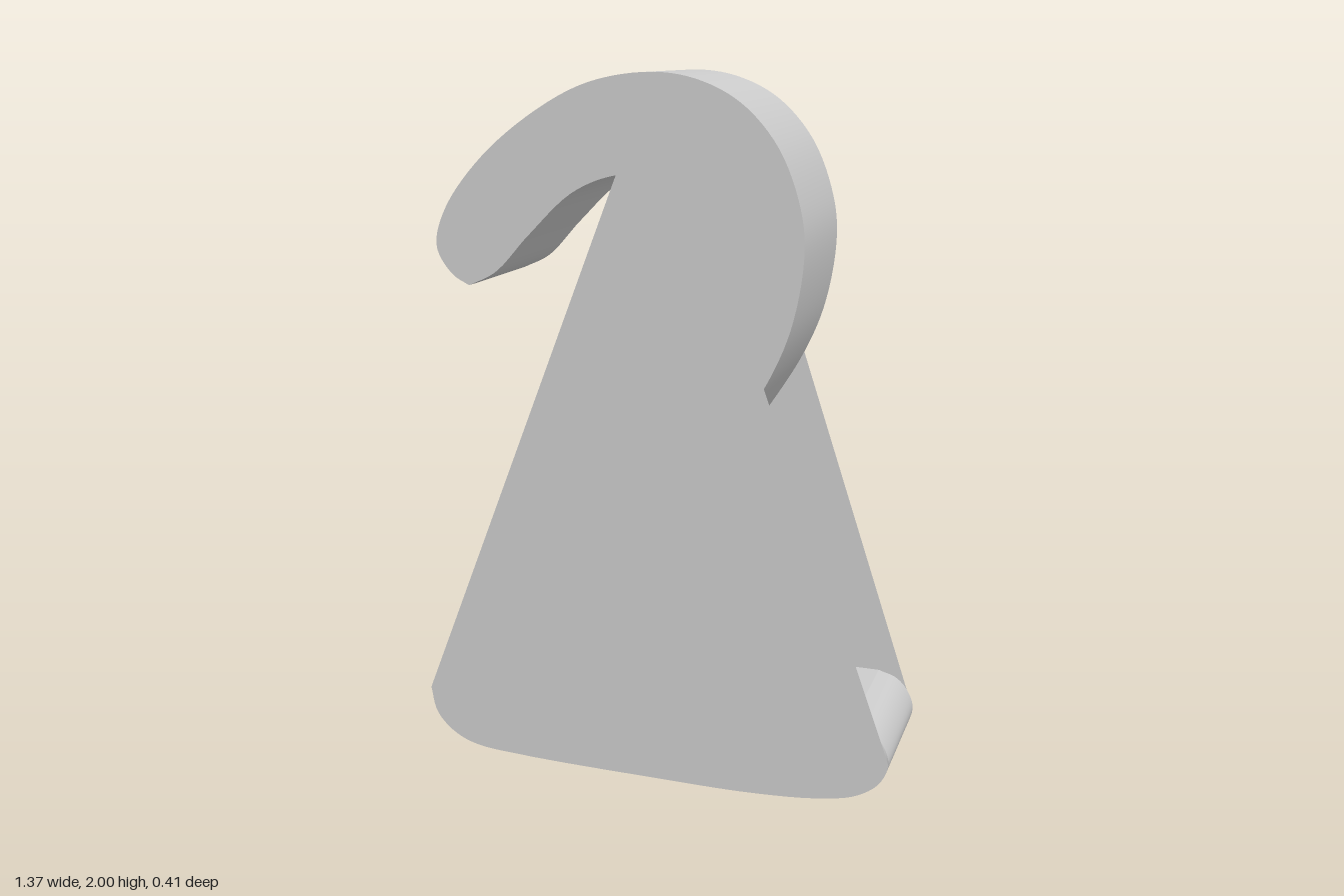
import * as THREE from 'three';

const HALF = 0.207;

// smooth curve through a few [x, y] points
function trace(points, n) {
  const curve = new THREE.CatmullRomCurve3(points.map(([x, y]) => new THREE.Vector3(x, y, 0)), false, 'centripetal');
  return curve.getPoints(n).map(p => new THREE.Vector2(p.x, p.y));
}

// smooth wall running from front to back along a line of points
function wall(points) {
  const pos = [], idx = [];
  points.forEach((p, i) => {
    pos.push(p.x, p.y, HALF, p.x, p.y, -HALF);
    if (i) {
      const a = 2 * (i - 1);
      idx.push(a, a + 2, a + 1, a + 1, a + 2, a + 3);
    }
  });
  const g = new THREE.BufferGeometry();
  g.setAttribute('position', new THREE.Float32BufferAttribute(pos, 3));
  g.setIndex(idx);
  g.computeVertexNormals();
  return g;
}

export function createModel() {
  const group = new THREE.Group();
  const material = new THREE.MeshStandardMaterial({ color: 0xcccccc, side: THREE.DoubleSide });
  const add = (name, geometry) => {
    const mesh = new THREE.Mesh(geometry, material);
    mesh.name = name;
    group.add(mesh);
    return mesh;
  };

  // hook tip, over the head, then down the underside of the diagonal
  const outer = trace([
    [-0.53, 1.415], [-0.58, 1.445], [-0.625, 1.52], [-0.6, 1.62], [-0.5, 1.755], [-0.35, 1.88],
    [-0.18, 1.97], [0, 2], [0.13, 1.982], [0.25, 1.922], [0.35, 1.81], [0.41, 1.66], [0.424, 1.54],
    [0.395, 1.35], [0.335, 1.2], [0.22, 1.015], [0.065, 0.8], [-0.1, 0.58], [-0.2, 0.42], [-0.24, 0.28],
  ], 110);
  // upper face of the foot
  const footTop = trace([[-0.24, 0.28], [0.1, 0.262], [0.58, 0.25]], 10);
  // rounded right end, underside and rounded left end of the foot
  const foot = trace([
    [0.58, 0.25], [0.635, 0.23], [0.67, 0.19], [0.685, 0.14], [0.662, 0.08], [0.6, 0.035], [0.5, 0.012],
    [0.3, 0.001], [0, 0.008], [-0.4, 0.025], [-0.55, 0.042], [-0.62, 0.075], [-0.67, 0.13], [-0.688, 0.205],
  ], 60);
  // upper side of the diagonal, then the inside of the hook back to the tip
  const inner = trace([
    [-0.688, 0.205], [-0.48, 0.43], [-0.305, 0.61], [-0.11, 0.8], [0.02, 0.99], [0.11, 1.2], [0.17, 1.42],
    [0.165, 1.57], [0.1, 1.68], [0, 1.73], [-0.1, 1.728], [-0.22, 1.68], [-0.35, 1.56], [-0.45, 1.455], [-0.53, 1.415],
  ], 90);

  add('outerWall', wall(outer));
  add('footTop', wall(footTop));
  add('footWall', wall(foot));
  add('innerWall', wall(inner));

  // flat face sheet that spans the gaps on both sides of the diagonal
  const face = (neckY, apexX) => {
    const neck = outer.findIndex(p => p.x > 0 && p.y < neckY);
    const shape = new THREE.Shape([
      ...outer.slice(0, neck),
      ...foot.filter(p => p.x < 0 || p.y <= 0.145),
      ...inner.filter(p => p.y > 1.4 && p.x < apexX).slice(0, -1),
    ]);
    return new THREE.ShapeGeometry(shape);
  };
  add('frontFace', face(1.15, -0.09)).position.z = HALF;
  const back = face(1.2, -0.03);
  // turn the sheet to face backwards
  const order = back.index.array;
  for (let i = 0; i < order.length; i += 3) [order[i], order[i + 1]] = [order[i + 1], order[i]];
  back.computeVertexNormals();
  add('backFace', back).position.z = -HALF;

  return group;
}
